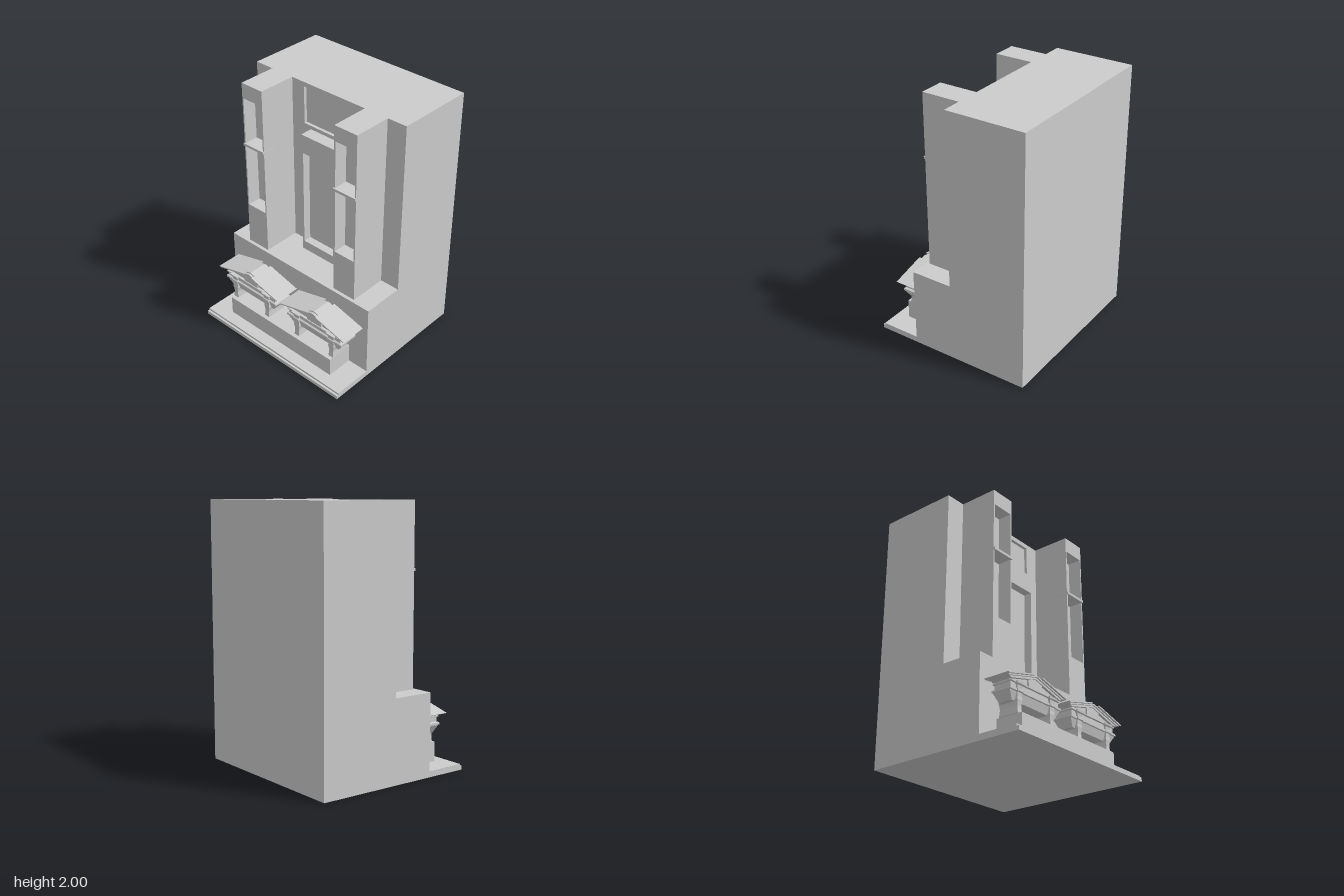
import * as THREE from 'three';

const material = new THREE.MeshStandardMaterial({ color: 0xcccccc, flatShading: true });

function add(parent, name, geometry) {
  const mesh = new THREE.Mesh(geometry, material);
  mesh.name = name;
  parent.add(mesh);
  return mesh;
}

// Box given by its limits on each axis
function block(parent, name, x0, x1, y0, y1, z0, z1) {
  const mesh = add(parent, name, new THREE.BoxGeometry(x1 - x0, y1 - y0, z1 - z0));
  mesh.position.set((x0 + x1) / 2, (y0 + y1) / 2, (z0 + z1) / 2);
  return mesh;
}

// Outline in x and y, extruded from z0 to z1
function prism(parent, name, points, z0, z1, hole) {
  const shape = new THREE.Shape(points.map(([x, y]) => new THREE.Vector2(x, y)));
  if (hole) shape.holes.push(new THREE.Path(hole.map(([x, y]) => new THREE.Vector2(x, y))));
  const geometry = new THREE.ExtrudeGeometry(shape, { depth: z1 - z0, bevelEnabled: false });
  geometry.translate(0, 0, z0);
  return add(parent, name, geometry);
}

const rect = (x0, x1, y0, y1) => [[x0, y0], [x1, y0], [x1, y1], [x0, y1]];

// Block with a rectangular recess in its front face
function recessedBlock(parent, name, outer, hole, z0, z1, depth) {
  const group = new THREE.Group();
  group.name = name;
  block(group, name + 'Back', ...outer, z0, z1 - depth);
  prism(group, name + 'Frame', rect(...outer), z1 - depth, z1, rect(...hole));
  parent.add(group);
  return group;
}

// Rectangular sections [y, half width, half depth] joined from bottom to top
function rectLoft(rings) {
  const positions = [], index = [];
  for (const [y, w, d] of rings) positions.push(-w, y, d, w, y, d, w, y, -d, -w, y, -d);
  for (let r = 0; r < rings.length - 1; r++) {
    for (let i = 0; i < 4; i++) {
      const a = r * 4 + i, b = r * 4 + (i + 1) % 4;
      index.push(a, b, b + 4, a, b + 4, a + 4);
    }
  }
  const t = (rings.length - 1) * 4;
  index.push(0, 2, 1, 0, 3, 2, t, t + 1, t + 2, t, t + 2, t + 3);
  const geometry = new THREE.BufferGeometry();
  geometry.setAttribute('position', new THREE.Float32BufferAttribute(positions, 3));
  geometry.setIndex(index);
  const flat = geometry.toNonIndexed();
  flat.computeVertexNormals();
  return flat;
}

// Gabled canopy on two shaped columns, centred on x = 0 and z = 0
function createCanopy() {
  const canopy = new THREE.Group();
  canopy.name = 'canopy';
  const eave = 0.322, apexY = 0.527, eaveY = 0.443;
  const roofY = x => apexY - (apexY - eaveY) * Math.abs(x) / eave;

  // Chevron band from the ridge to half width w, between two offsets below the roof
  const chevron = (name, w, top, bottom, z0, z1, wTop = w) => prism(canopy, name, [
    [-w, roofY(w) - bottom], [0, apexY - bottom], [w, roofY(w) - bottom],
    [wTop, roofY(wTop) - top], [0, apexY - top], [-wTop, roofY(wTop) - top],
  ], z0, z1);
  chevron('roof', eave - 0.012, 0, 0.01, -0.075, 0.072, eave);

  // Front and back roof edges stop short of the ridge
  for (const side of [-1, 1]) {
    for (const [z0, z1] of [[-0.105, -0.075], [0.072, 0.105]]) {
      const pts = [[0.042, roofY(0.042) - 0.01], [eave - 0.012, roofY(eave - 0.012) - 0.01],
        [eave, eaveY], [0.042, roofY(0.042)]].map(([x, y]) => [side * x, y]);
      prism(canopy, 'roofEdge', side > 0 ? pts : pts.reverse(), z0, z1);
    }
  }
  chevron('upperRakingCornice', 0.29, 0.01, 0.02, -0.09, 0.09, 0.305);
  chevron('lowerRakingCornice', 0.262, 0.02, 0.035, -0.08, 0.08, 0.28);

  // Gable wall with its central raised panel
  prism(canopy, 'tympanum', [[-0.255, 0.413], [0.255, 0.413], [0.255, 0.428], [0, 0.497], [-0.255, 0.428]], -0.06, 0.06);
  prism(canopy, 'tympanumPanel', [[-0.072, 0.413], [0.072, 0.413], [0.072, 0.475], [0, 0.494], [-0.072, 0.475]], -0.073, 0.073);

  // Beam, projecting ledge and tapered underside
  add(canopy, 'entablature', rectLoft([
    [0.345, 0.26, 0.07], [0.35, 0.272, 0.08], [0.365, 0.272, 0.08], [0.372, 0.255, 0.068],
    [0.405, 0.255, 0.068], [0.408, 0.262, 0.08], [0.416, 0.262, 0.08],
  ]));
  add(canopy, 'taperedUnderside', rectLoft([[0.285, 0.228, 0.054], [0.347, 0.27, 0.072]]));

  for (const x of [-0.174, 0.174]) {
    const column = add(canopy, 'column', rectLoft([
      [0.2, 0.023, 0.08], [0.225, 0.021, 0.077], [0.25, 0.019, 0.075], [0.275, 0.022, 0.077],
      [0.295, 0.027, 0.08], [0.315, 0.024, 0.078], [0.345, 0.025, 0.08], [0.35, 0.031, 0.087],
      [0.366, 0.031, 0.087], [0.372, 0.025, 0.08], [0.395, 0.029, 0.083],
      [0.402, 0.038, 0.091], [0.416, 0.04, 0.093],
    ]));
    column.position.x = x;
  }
  return canopy;
}

export function createModel() {
  const model = new THREE.Group();
  model.name = 'facade';

  // Main mass with a shallow window panel
  recessedBlock(model, 'mainWall', [-0.7, 0.7, 0, 2], [-0.225, 0.225, 1.67, 1.965], -0.645, -0.015, 0.025);
  block(model, 'lowerWall', -0.7, 0.7, 0, 0.63, -0.015, 0.317);

  // Stepped base and platform
  block(model, 'baseSlab', -0.7, 0.7, 0, 0.03, 0.317, 0.645);
  block(model, 'baseStep', -0.7, 0.7, 0.03, 0.046, 0.317, 0.628);
  block(model, 'platform', -0.527, 0.527, 0.046, 0.198, 0.317, 0.53);

  // Central doorway
  recessedBlock(model, 'doorway', [-0.162, 0.162, 0.63, 1.642], [-0.147, 0.147, 0.705, 1.492], -0.015, 0.085, 0.065);

  // Mirrored piers with niches and shelves
  for (const side of [-1, 1]) {
    const span = (a, b) => side > 0 ? [a, b] : [-b, -a];
    recessedBlock(model, side > 0 ? 'leftPier' : 'rightPier',
      [...span(0.34, 0.54), 0.63, 2], [...span(0.351, 0.529), 0.97, 1.88], -0.015, 0.29, 0.11);
    block(model, 'nicheShelf', ...span(0.338, 0.54), 1.493, 1.513, 0.18, 0.302);
  }

  // Pair of canopies on the platform
  for (const x of [-0.333, 0.333]) {
    const canopy = createCanopy();
    canopy.position.set(x, 0, 0.42);
    model.add(canopy);
  }
  return model;
}
